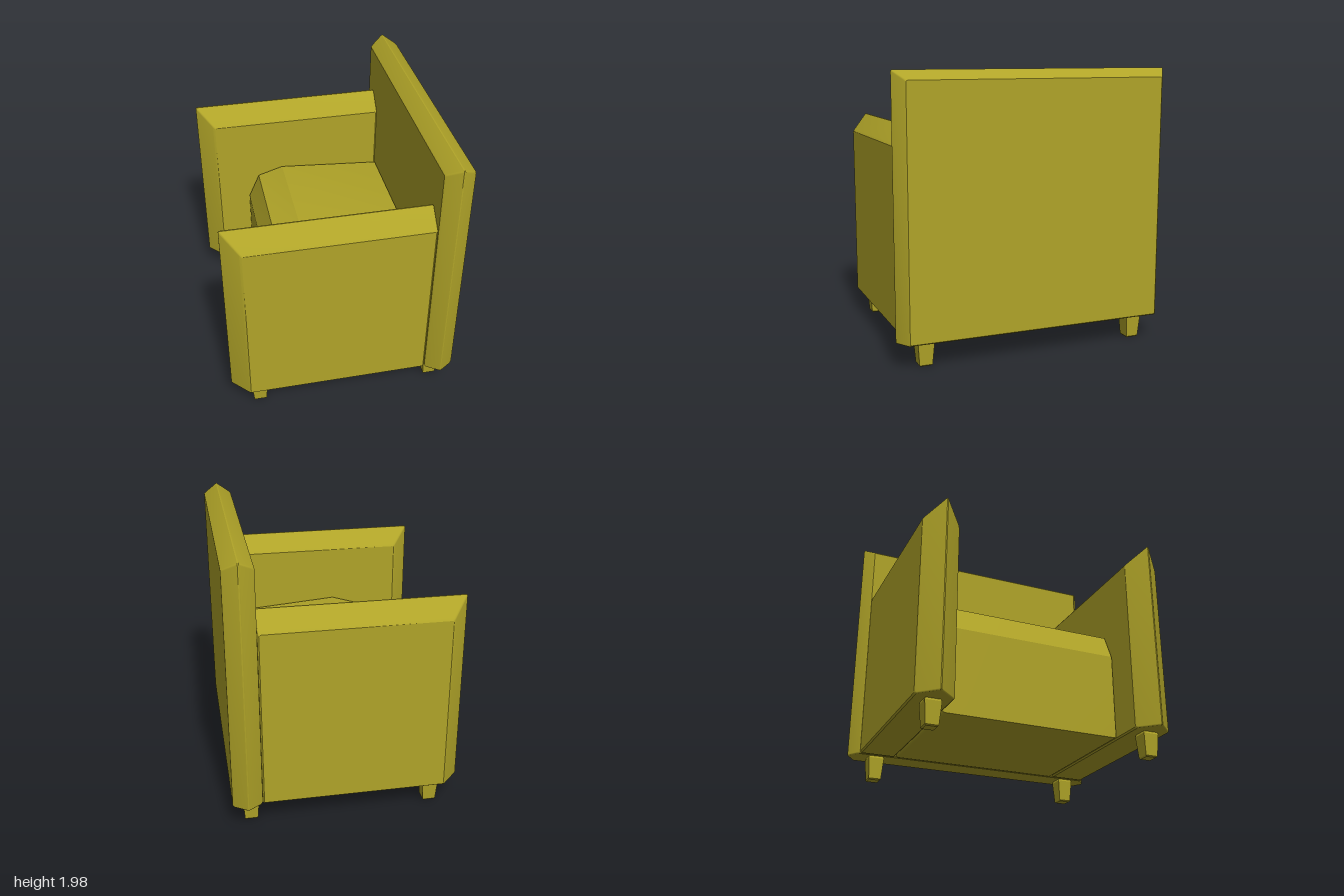
import * as THREE from 'three';
import { toCreasedNormals } from 'three/addons/utils/BufferGeometryUtils.js';

const fabric = new THREE.MeshStandardMaterial({ color: 0xb0a428 });
const legMaterial = new THREE.MeshStandardMaterial({ color: 0xb0a428, flatShading: true });
const BASE = 0.18; // underside of the upholstery

// Rectangle outline with softly rounded corners, counter-clockwise
function outline(x0, x1, y0, y1, r = 0.012, steps = 5) {
  const corners = [[x1 - r, y0 + r, -0.5], [x1 - r, y1 - r, 0], [x0 + r, y1 - r, 0.5], [x0 + r, y0 + r, 1]];
  const points = [];
  for (const [cx, cy, start] of corners) {
    for (let i = 0; i <= steps; i++) {
      const a = Math.PI * (start + 0.5 * i / steps);
      points.push([cx + r * Math.cos(a), cy + r * Math.sin(a)]);
    }
  }
  return points;
}

// Upright panel whose chosen edges rise to a ridge halfway through its thickness.
// ridge holds how far each edge slopes back: left, right, top.
function ridgedPanel(x0, x1, y0, y1, thickness, ridge) {
  const T = thickness / 2, soft = 0.012;
  const levels = [-T, -T + soft, -soft, -0.004, 0.004, soft, T - soft, T];
  const positions = [], index = [];
  let n = 0;
  levels.forEach((t) => {
    const edge = Math.abs(t) === T ? soft * 0.8 : 0;
    const inset = (depth) => depth * Math.max(Math.abs(t) - 0.004, 0) / (T - 0.004) + (depth ? edge * 0.4 : edge);
    const loop = outline(x0 + inset(ridge[0]), x1 - inset(ridge[1]), y0 + inset(0), y1 - inset(ridge[2]));
    n = loop.length;
    for (const [x, y] of loop) positions.push(x, y, t);
  });
  for (let k = 0; k < levels.length - 1; k++) {
    for (let i = 0; i < n; i++) {
      const a = k * n + i, b = k * n + (i + 1) % n;
      index.push(a, b, b + n, a, b + n, a + n);
    }
  }
  // Flat caps on both faces
  const last = (levels.length - 1) * n;
  for (let i = 1; i < n - 1; i++) {
    index.push(0, i + 1, i, last, last + i, last + i + 1);
  }
  const geometry = new THREE.BufferGeometry();
  geometry.setAttribute('position', new THREE.Float32BufferAttribute(positions, 3));
  geometry.setIndex(index);
  return toCreasedNormals(geometry, 0.33);
}

export function createModel() {
  const model = new THREE.Group();
  model.name = 'armchair';

  const add = (name, geometry, material = fabric) => {
    const mesh = new THREE.Mesh(geometry, material);
    mesh.name = name;
    model.add(mesh);
    return mesh;
  };

  // Backrest: ridged along its top and both sides
  const back = add('backrest', ridgedPanel(-1, 1, BASE, 1.98, 0.21, [0.065, 0.065, 0.06]));
  back.rotation.y = Math.PI / 2;
  back.position.x = 0.717;

  // Armrests: ridged along the top and the front end
  const armGeometry = ridgedPanel(-0.825, 0.61, BASE, 1.597, 0.27, [0.125, 0, 0.125]);
  for (const side of [-1, 1]) {
    add(side > 0 ? 'armrestPositiveZ' : 'armrestNegativeZ', armGeometry).position.z = side * 0.798;
  }

  // Seat block: rounded-over front, top sloping gently towards the back
  const profile = new THREE.Shape([
    [-0.46, BASE], [0.605, BASE], [0.605, 1.0], [-0.18, 1.06], [-0.375, 1.0], [-0.46, 0.81],
  ].map(([x, y]) => new THREE.Vector2(x, y)));
  const bevel = 0.02, halfWidth = 0.657;
  const seat = new THREE.ExtrudeGeometry(profile, {
    depth: 2 * (halfWidth - bevel), bevelThickness: bevel, bevelSize: bevel, bevelOffset: -bevel, bevelSegments: 5,
  });
  seat.translate(0, 0, bevel - halfWidth);
  add('seat', toCreasedNormals(seat, 0.33));

  // Four square tapered legs
  const legProfile = [[0, 0], [0.039, 0], [0.046, 0.008], [0.058, 0.165], [0.053, 0.18], [0, 0.18]]
    .map(([half, y]) => new THREE.Vector2(half * Math.SQRT2, y));
  const legGeometry = new THREE.LatheGeometry(legProfile, 4, Math.PI / 4);
  for (const x of [-0.622, 0.688]) {
    for (const z of [-0.798, 0.798]) {
      add(x < 0 ? 'frontLeg' : 'backLeg', legGeometry, legMaterial).position.set(x, 0, z);
    }
  }
  return model;
}
